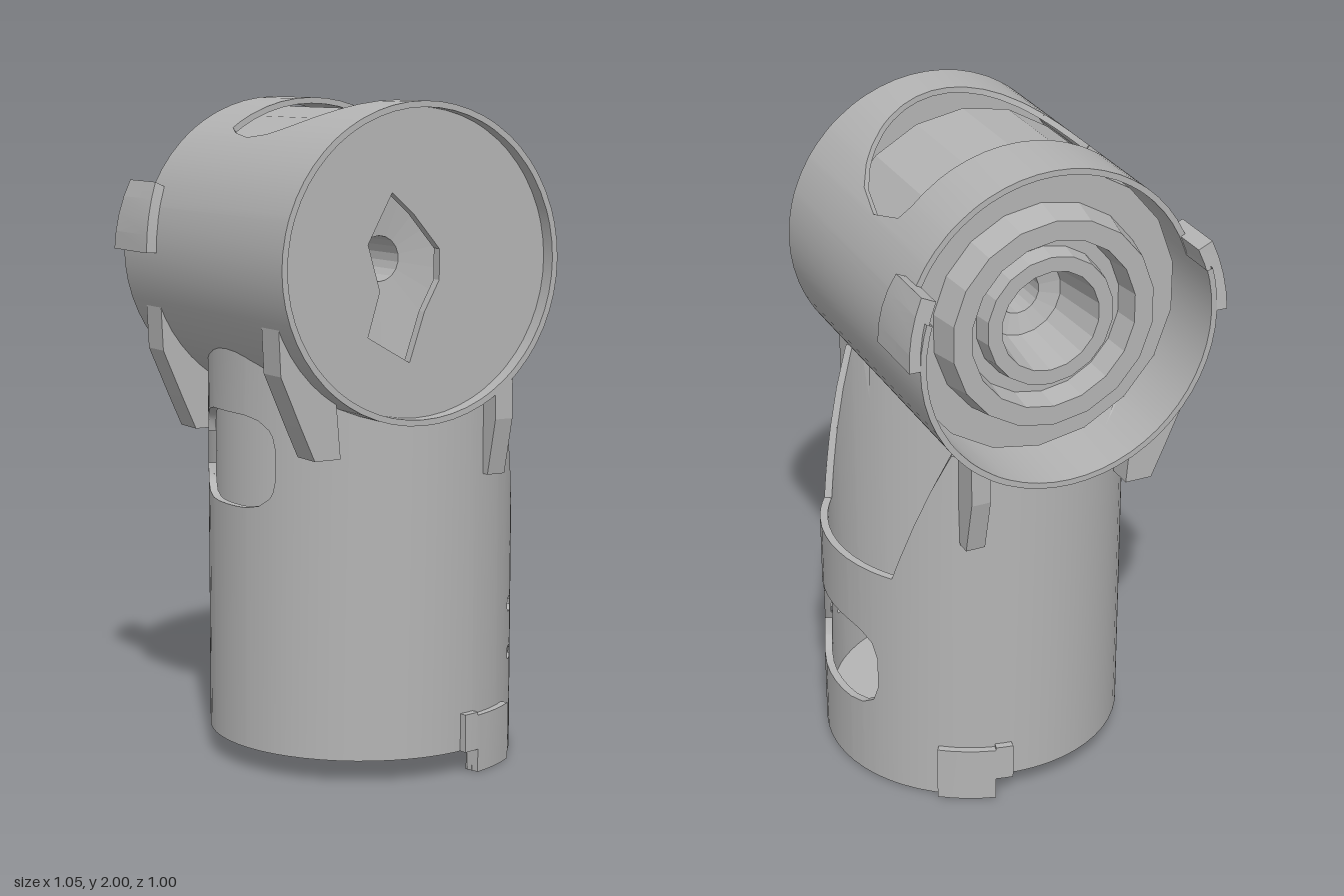
import * as THREE from 'three';
import { toCreasedNormals } from 'three/addons/utils/BufferGeometryUtils.js';

const PI = Math.PI;
const grey = new THREE.MeshStandardMaterial({ color: 0xb4b4b4, side: THREE.DoubleSide });
grey.name = 'grey plastic';

// Curved wall about the z axis: range(th) gives its two ends, holes cut windows into it.
function shell(rIn, rOut, th0, th1, range, holes = [], breaks = []) {
  const n = Math.max(4, Math.round((th1 - th0) / (2 * PI) * 56));
  const cuts = [...breaks];
  for (let i = 0; i <= n; i++) cuts.push(th0 + (th1 - th0) * i / n);
  for (const h of holes) for (const t of [0, 0.05, 0.14, 0.28, 0.72, 0.86, 0.95, 1]) cuts.push(h.a + (h.b - h.a) * t);
  cuts.sort((p, q) => p - q);
  const pos = [];
  const P = (r, th, v) => [r * Math.cos(th), r * Math.sin(th), v];
  const quad = (a, b, c, d) => pos.push(...a, ...b, ...c, ...a, ...c, ...d);
  const eps = 1e-5;
  for (let i = 0; i + 1 < cuts.length; i++) {
    const a = cuts[i], b = cuts[i + 1], m = (a + b) / 2;
    if (b - a < 1e-4) continue;
    const active = holes.filter(h => m > h.a && m < h.b).sort((p, q) => p.f(m)[0] - q.f(m)[0]);
    const ends = th => {
      const [lo, hi] = range(th);
      return [lo, ...active.flatMap(h => h.f(th)), hi];
    };
    const ea = ends(a + eps), eb = ends(b - eps);
    for (let k = 0; k < ea.length; k += 2) {
      const [la, ha, lb, hb] = [ea[k], ea[k + 1], eb[k], eb[k + 1]];
      quad(P(rOut, a, la), P(rOut, b, lb), P(rOut, b, hb), P(rOut, a, ha));
      quad(P(rIn, b, lb), P(rIn, a, la), P(rIn, a, ha), P(rIn, b, hb));
      quad(P(rOut, a, ha), P(rOut, b, hb), P(rIn, b, hb), P(rIn, a, ha));
      quad(P(rIn, a, la), P(rIn, b, lb), P(rOut, b, lb), P(rOut, a, la));
      if (th1 - th0 < 6 && a < th0 + 1e-4) quad(P(rIn, a, la), P(rOut, a, la), P(rOut, a, ha), P(rIn, a, ha));
      if (th1 - th0 < 6 && b > th1 - 1e-4) quad(P(rOut, b, lb), P(rIn, b, lb), P(rIn, b, hb), P(rOut, b, hb));
    }
  }
  const g = new THREE.BufferGeometry();
  g.setAttribute('position', new THREE.Float32BufferAttribute(pos, 3));
  return toCreasedNormals(g, 0.6);
}

// Window with rounded corners around angle c
function windowHole(c, half, lo, hi) {
  const mid = (lo + hi) / 2, h = (hi - lo) / 2;
  return {
    a: c - half, b: c + half,
    f: th => {
      const t = (th - c) / half;
      const k = h * (0.35 + 0.65 * Math.sqrt(Math.max(0, 1 - t ** 4)));
      return [mid - k, mid + k];
    },
  };
}

function plate(points, depth, holes = []) {
  const shape = new THREE.Shape(points.map(p => new THREE.Vector2(...p)));
  for (const h of holes) shape.holes.push(new THREE.Path(h.map(p => new THREE.Vector2(...p))));
  return new THREE.ExtrudeGeometry(shape, { depth, bevelEnabled: false });
}

const circle = (r, n) => Array.from({ length: n }, (_, i) =>
  [r * Math.cos(i / n * 2 * PI), r * Math.sin(i / n * 2 * PI)]);

function add(parent, name, geometry) {
  const m = new THREE.Mesh(geometry, grey);
  m.name = name;
  parent.add(m);
  return m;
}

export function createModel() {
  const model = new THREE.Group();
  model.name = 'elbowJoint';

  // Horizontal housing, axis along z
  const head = new THREE.Group();
  head.name = 'horizontalHousing';
  head.position.set(-0.03, 1.535, 0);
  model.add(head);
  const R = 0.465;
  const round = th => {
    const s = Math.sqrt(Math.max(0, 0.345 ** 2 - (R * Math.cos(th) - 0.042) ** 2));
    return [Math.max(-0.145, -s), s];
  };
  const e0 = Math.acos(0.387 / R), e1 = Math.acos(-0.303 / R);
  add(head, 'housingTube', shell(0.447, R, 0, 2 * PI,
    th => [th > 0.3 && th < PI - 0.3 ? -0.38 : -0.505, 0.5],
    [{ a: e0, b: e1, f: round }, { a: 2 * PI - e1, b: 2 * PI - e0, f: round }],
    [0.3, PI - 0.3]));

  // Recessed front cover with an irregular opening
  add(head, 'frontCover', plate(circle(0.45, 56), 0.03, [[
    [-0.08, 0.205], [-0.01, 0.145], [0.08, 0.04], [0.08, -0.05], [0.03, -0.14],
    [-0.02, -0.285], [-0.16, -0.205], [-0.12, -0.075], [-0.16, 0.06],
  ]])).position.z = 0.425;

  // Drive body with stepped rings at the back and a through bore
  const profile = [
    [0.068, 0.25], [0.39, 0.285], [0.436, 0.235], [0.436, -0.3], [0.34, -0.3], [0.32, -0.395], [0.26, -0.395],
    [0.25, -0.31], [0.21, -0.31], [0.2, -0.37], [0.155, -0.37], [0.13, -0.17], [0.068, -0.15], [0.068, 0.25],
  ].map(p => new THREE.Vector2(...p));
  const drive = new THREE.LatheGeometry(profile, 18).toNonIndexed();
  drive.rotateX(PI / 2);
  drive.computeVertexNormals();
  add(head, 'driveBody', drive);

  // Side clips at the back
  for (const s of [0, 1]) {
    const a = s ? PI - 0.44 : 0, b = s ? PI : 0.44;
    add(head, 'backClip', shell(0.45, 0.498, a, b, th => {
      const t = Math.abs(s ? PI - th : th) / 0.44;
      return [-0.505 + 0.02 * t, -0.28 - 0.03 * t * t];
    }));
  }

  // Vertical housing, axis along y
  const base = new THREE.Group();
  base.name = 'verticalHousing';
  base.position.x = 0.057;
  model.add(base);
  const V = 0.466;
  const top = th => {
    const x = V * Math.cos(th) + 0.087, z = Math.abs(V * Math.sin(th));
    const saddle = Math.min(1.27, 1.535 - Math.sqrt(Math.max(0, 0.455 ** 2 - x * x)));
    if (Math.cos(th) < 0) return saddle;
    return Math.min(saddle, 0.74 + Math.max(0, z - 0.27) / 0.13 * 0.45);
  };
  const step = Math.acos(0.123 / V);
  const tube = shell(0.442, V, -PI / 2, 1.5 * PI,
    th => [Math.cos(th) > 0.123 / V ? 0 : 0.07, top(th)],
    [
      windowHole(0, 0.49, 0.24, 0.525),
      windowHole(PI, 0.467, 0.8, 1.08),
      windowHole(-0.735, 0.055, 0.29, 0.33),
      windowHole(-0.735, 0.06, 0.44, 0.485),
    ],
    [step, -step, 0.618, -0.618, 1.03, -1.03]);
  add(base, 'baseTube', tube.rotateX(-PI / 2));

  // Floor with a central hole
  add(base, 'baseFloor', plate(circle(0.45, 56), 0.025, [circle(0.17, 14)]).rotateX(-PI / 2)).position.y = 0.07;

  for (const s of [1, -1]) {
    // Foot clips
    const [a, b] = s > 0 ? [0.93, 1.3] : [-1.3, -0.93];
    add(base, 'footClip', shell(0.445, 0.488, a, b, () => [0, 0.175]).rotateX(-PI / 2));
    const [c, d] = s > 0 ? [1.3, 1.41] : [-1.41, -1.3];
    add(base, 'footClipEdge', shell(0.445, 0.488, c, d, () => [0.07, 0.185]).rotateX(-PI / 2));

    // Narrow prongs, profile in the side plane, tops sloped to meet the round housing
    const prong = plate([[0.5, 1.165], [0.5, 1.07], [0.46, 0.9], [0.415, 0.9], [0.4, 1.165]]
      .map(([z, y]) => [-z * s, y]), 0.06).rotateY(PI / 2);
    const p = prong.attributes.position;
    for (let i = 0; i < p.count; i++) if (p.getY(i) > 1.1) p.setY(i, p.getY(i) + (p.getX(i) - 0.03) * 0.75);
    prong.computeVertexNormals();
    add(model, 'narrowProng', prong).position.x = 0.22;

    // Wide brackets hugging the underside of the horizontal housing
    const bracket = plate([[-0.462, 1.38], [-0.455, 1.23], [-0.39, 1.08], [-0.345, 0.98],
      [-0.26, 0.98], [-0.275, 1.155], [-0.35, 1.21], [-0.41, 1.29]], 0.1);
    add(model, 'wideBracket', bracket).position.z = s > 0 ? 0.32 : -0.42;
  }
  return model;
}
